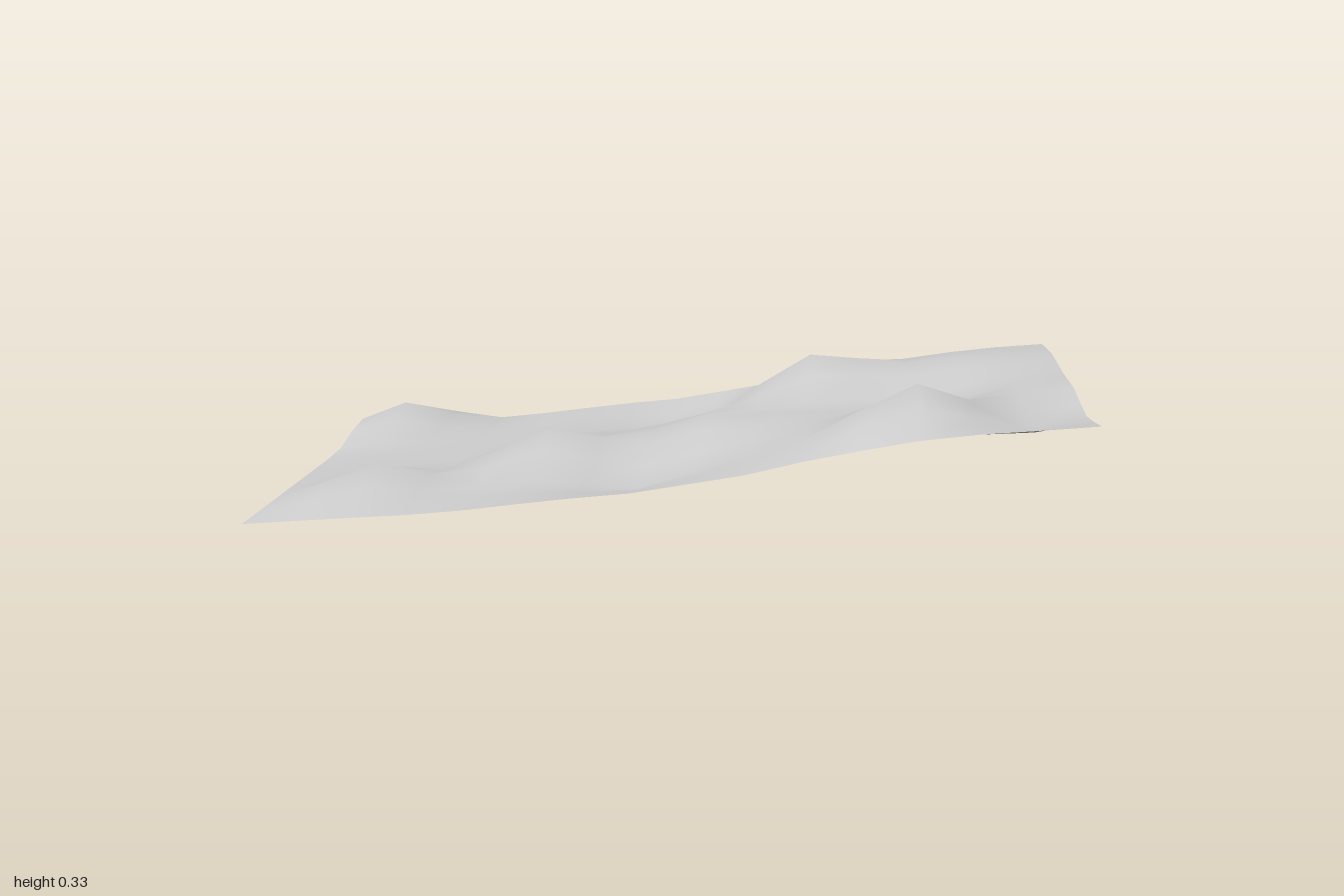
import * as THREE from 'three';

const WIDTH = 2, DEPTH = 1.1, COLS = 15, ROWS = 10;

// Height of the gentle slope at each column, from low (-x) to high (+x)
const SLOPE = [0, 0.01, 0.02, 0.032, 0.048, 0.067, 0.085, 0.1,
  0.125, 0.15, 0.185, 0.21, 0.233, 0.255, 0.272, 0.284];

// Hills (positive) and hollows (negative): x, z, height, radius in x, radius in z
const HILLS = [
  [-0.867, -0.44, 0.085, 0.265, 0.28],
  [-0.733, 0.33, 0.08, 0.27, 0.25],
  [-0.333, 0.11, 0.083, 0.27, 0.26],
  [0.067, 0, 0.045, 0.3, 0.3],
  [-0.067, 0.33, -0.045, 0.3, 0.22],
  [-0.067, -0.33, -0.048, 0.3, 0.22],
  [0.333, -0.33, 0.095, 0.27, 0.24],
  [0.6, -0.33, 0.027, 0.27, 0.24],
  [0.867, -0.33, 0.02, 0.27, 0.24],
  [0.6, 0, -0.05, 0.25, 0.28],
  [0.6, 0.33, 0.097, 0.28, 0.27],
  [0.867, 0.33, -0.052, 0.26, 0.25],
];

// Smooth falloff: 1 at the centre, 0 at the radius
const falloff = (d, r) => (Math.abs(d) < r ? Math.cos((Math.PI / 2) * d / r) ** 2 : 0);

function terrainHeight(x, z) {
  const column = Math.round((x / WIDTH + 0.5) * COLS);
  let y = SLOPE[column];
  for (const [hx, hz, h, rx, rz] of HILLS) y += h * falloff(x - hx, rx) * falloff(z - hz, rz);
  return Math.max(y, 0);
}

export function createModel() {
  const group = new THREE.Group();
  group.name = 'terrain';

  // Ground sheet: a flat grid lifted vertex by vertex
  const geometry = new THREE.PlaneGeometry(WIDTH, DEPTH, COLS, ROWS).rotateX(-Math.PI / 2);
  const pos = geometry.attributes.position;
  for (let i = 0; i < pos.count; i++) pos.setY(i, terrainHeight(pos.getX(i), pos.getZ(i)));
  geometry.computeVertexNormals();

  const ground = new THREE.Mesh(
    geometry,
    new THREE.MeshStandardMaterial({ color: 0xcccccc, side: THREE.DoubleSide }),
  );
  ground.name = 'hillyGround';
  group.add(ground);
  return group;
}
